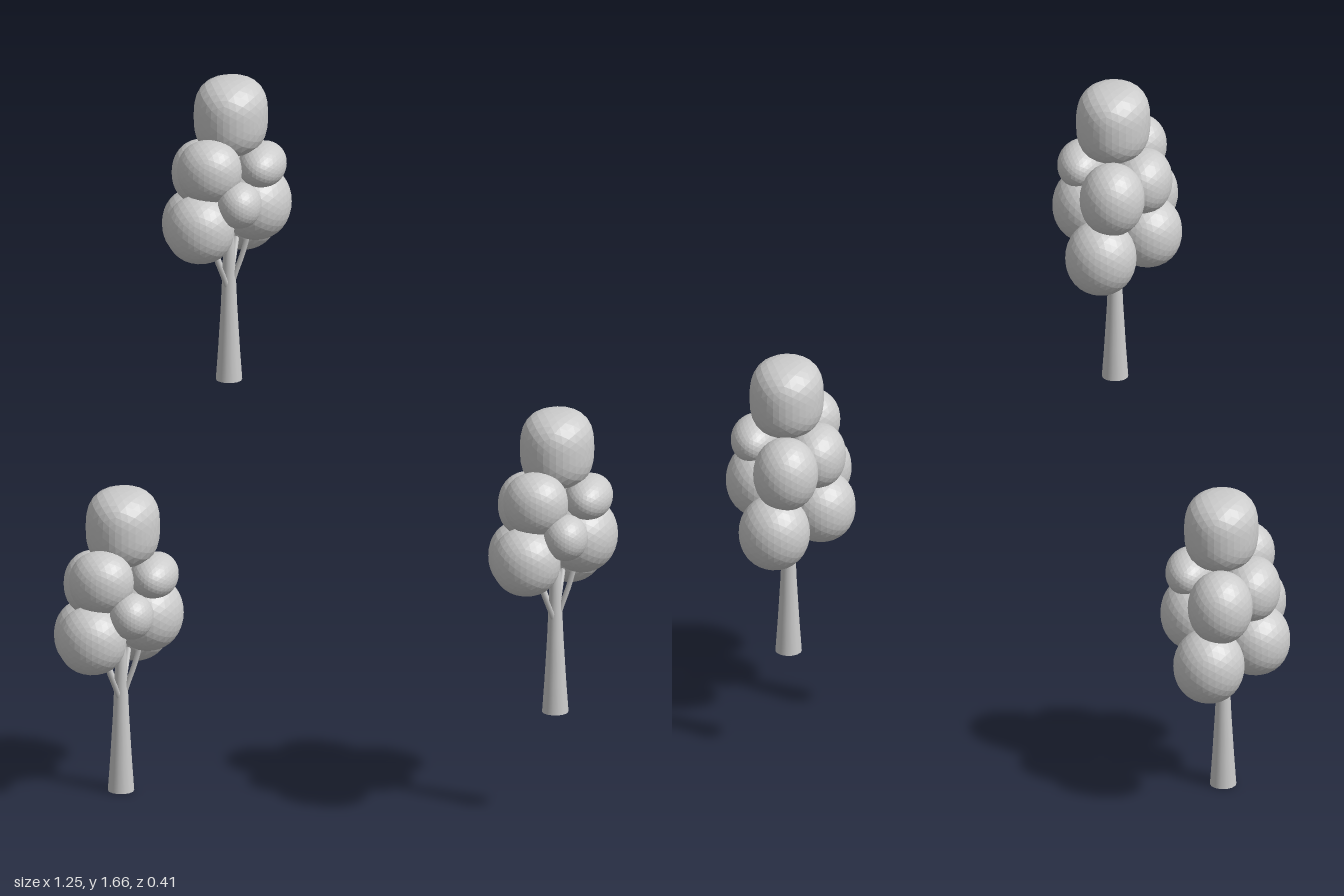
import * as THREE from 'three';

const bark = new THREE.MeshStandardMaterial({ color: 0xcccccc });
const leaf = new THREE.MeshStandardMaterial({ color: 0xcccccc, flatShading: true });

// Leaf clumps: centre x, y, z, half sizes x, y, z, squareness of the profile
const clumps = [
  ['crownTop', 0.005, 0.61, 0.005, 0.081, 0.085, 0.092, 2.8],
  ['frontUpper', -0.024, 0.512, 0.105, 0.071, 0.069, 0.066, 2.2],
  ['frontLower', -0.04, 0.386, 0.132, 0.075, 0.075, 0.072, 2.2],
  ['frontSmall', 0.046, 0.444, 0.122, 0.048, 0.05, 0.055, 2.1],
  ['leftUpper', 0.076, 0.503, 0.008, 0.052, 0.048, 0.077, 2.1],
  ['leftLower', 0.06, 0.411, -0.004, 0.077, 0.082, 0.09, 2.1],
  ['backUpper', -0.015, 0.48, -0.118, 0.071, 0.081, 0.075, 2.1],
  ['backLower', 0.008, 0.343, -0.13, 0.078, 0.083, 0.079, 2.1],
  ['rightUpper', -0.062, 0.475, 0.0, 0.064, 0.07, 0.078, 2.2],
  ['rightLower', -0.073, 0.355, -0.002, 0.075, 0.077, 0.08, 2.2],
];

// Ball whose vertical profile is a superellipse of power p
function clumpGeometry(p) {
  const geo = new THREE.IcosahedronGeometry(1, 5);
  const pos = geo.attributes.position;
  const v = new THREE.Vector3();
  for (let i = 0; i < pos.count; i++) {
    v.fromBufferAttribute(pos, i);
    const r = Math.hypot(v.x, v.z);
    v.multiplyScalar(Math.pow(Math.pow(r, p) + Math.pow(Math.abs(v.y), p), -1 / p));
    pos.setXYZ(i, v.x, v.y, v.z);
  }
  geo.computeVertexNormals();
  return geo;
}

function createTree() {
  const tree = new THREE.Group();

  // Trunk with a flared, closed foot
  const profile = [[0, 0], [0.029, 0], [0.029, 0], [0.024, 0.07], [0.018, 0.17], [0.015, 0.24], [0.012, 0.32], [0.008, 0.52]]
    .map(([x, y]) => new THREE.Vector2(x, y));
  const trunk = new THREE.Mesh(new THREE.LatheGeometry(profile, 14), bark);
  trunk.name = 'trunk';
  tree.add(trunk);

  // Curved branches reaching into the lower clumps
  const tips = [[-0.03, 0.37, 0.085], [0.008, 0.35, -0.085], [0.05, 0.37, 0], [-0.05, 0.36, 0]];
  for (const [x, y, z] of tips) {
    const curve = new THREE.CatmullRomCurve3([
      new THREE.Vector3(0, 0.2, 0),
      new THREE.Vector3(x * 0.28, 0.245, z * 0.28),
      new THREE.Vector3(x * 0.62, 0.295, z * 0.62),
      new THREE.Vector3(x, y, z),
    ]);
    const branch = new THREE.Mesh(new THREE.TubeGeometry(curve, 10, 0.006, 7), bark);
    branch.name = 'branch';
    tree.add(branch);
  }

  // Foliage
  for (const [name, x, y, z, rx, ry, rz, p] of clumps) {
    const clump = new THREE.Mesh(clumpGeometry(p), leaf);
    clump.name = name + 'Foliage';
    clump.position.set(x, y, z);
    clump.scale.set(rx, ry, rz);
    tree.add(clump);
  }
  return tree;
}

export function createModel() {
  const model = new THREE.Group();
  model.name = 'trees';
  const tree = createTree();
  // Three copies at different heights
  [[-0.48, 0.342], [-0.24, 1.305], [0.485, 0.583]].forEach(([x, y], i) => {
    const copy = tree.clone();
    copy.name = 'tree' + (i + 1);
    copy.position.set(x, y, 0.006);
    model.add(copy);
  });
  return model;
}
